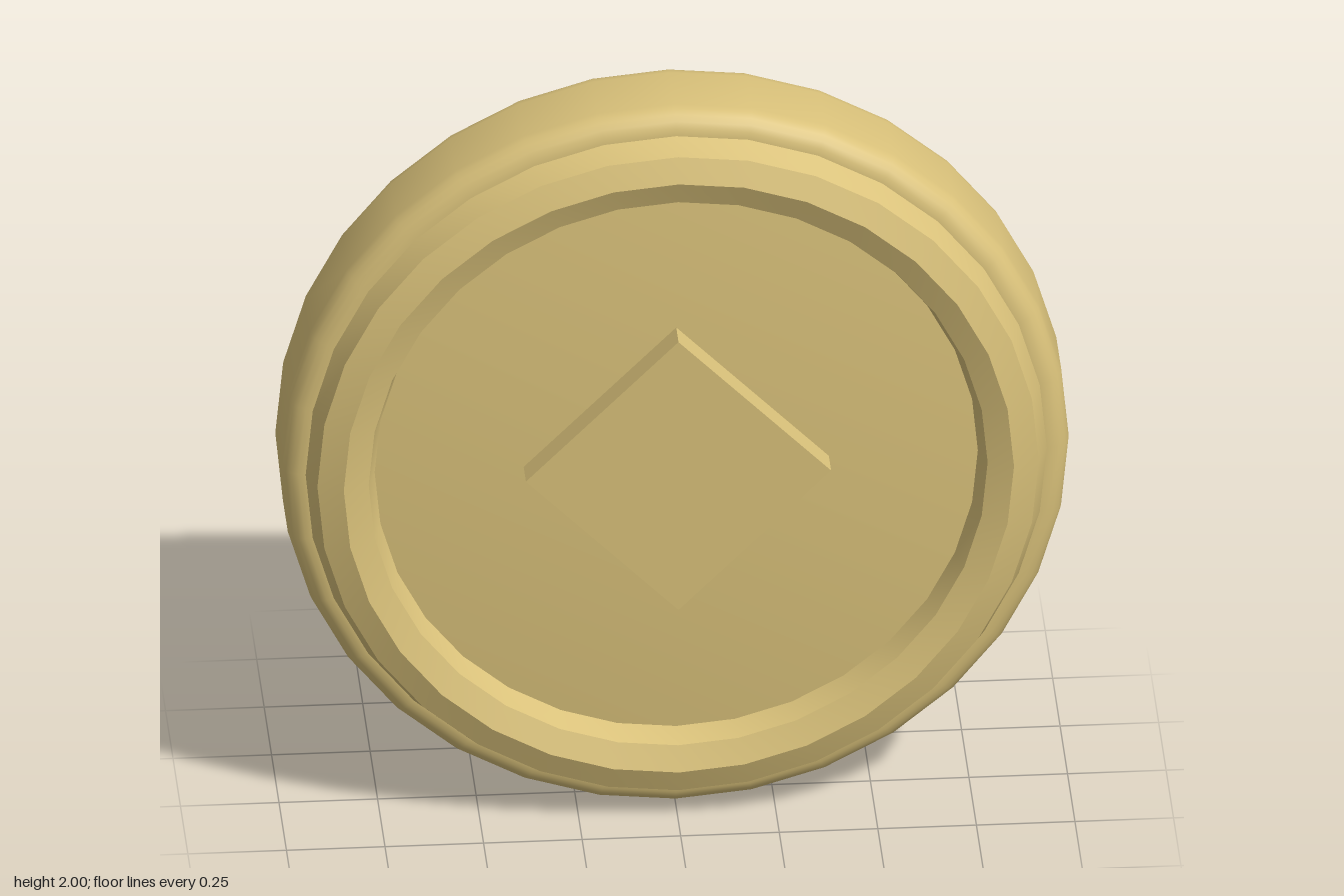
import * as THREE from 'three';
import { toCreasedNormals } from 'three/addons/utils/BufferGeometryUtils.js';

const SEGMENTS = 32;

// Revolve a [radius, z] profile (listed back to front) around the z axis.
function turned(profile, crease) {
  const points = profile.map(([r, z]) => new THREE.Vector2(r, z));
  const geometry = new THREE.LatheGeometry(points, SEGMENTS);
  geometry.rotateX(Math.PI / 2);
  return toCreasedNormals(geometry, crease);
}

// Quarter-round edge between two faces of the disc.
function roundedEdge(r, z, radius, from) {
  const points = [];
  for (let i = 0; i <= 5; i++) {
    const a = from + (i / 5) * Math.PI / 2;
    points.push([r + radius * Math.cos(a), z + radius * Math.sin(a)]);
  }
  return points;
}

export function createModel() {
  const group = new THREE.Group();
  const gold = new THREE.MeshStandardMaterial({ color: 0xd9c17a });
  gold.name = 'paleGold';

  const add = (name, geometry) => {
    const mesh = new THREE.Mesh(geometry, gold);
    mesh.name = name;
    mesh.position.y = 1;
    group.add(mesh);
    return mesh;
  };

  // Thick disc with rounded edges; its front is also the recessed floor
  add('body', turned([
    [0, -0.19],
    ...roundedEdge(0.935, -0.125, 0.065, -Math.PI / 2),
    ...roundedEdge(0.94, 0.04, 0.06, 0),
    [0, 0.1],
  ], 0.6));

  // Raised bevelled ring standing on the disc
  add('rim', turned([
    [0.94, 0.1], [0.915, 0.165], [0.85, 0.19], [0.785, 0.165], [0.765, 0.1],
  ], 0.3));

  // Raised diamond in the middle of the face
  const side = 0.387 * Math.SQRT2;
  const diamond = add('diamond', new THREE.BoxGeometry(side, side, 0.08));
  diamond.rotation.z = Math.PI / 4;
  diamond.position.z = 0.137;

  return group;
}
